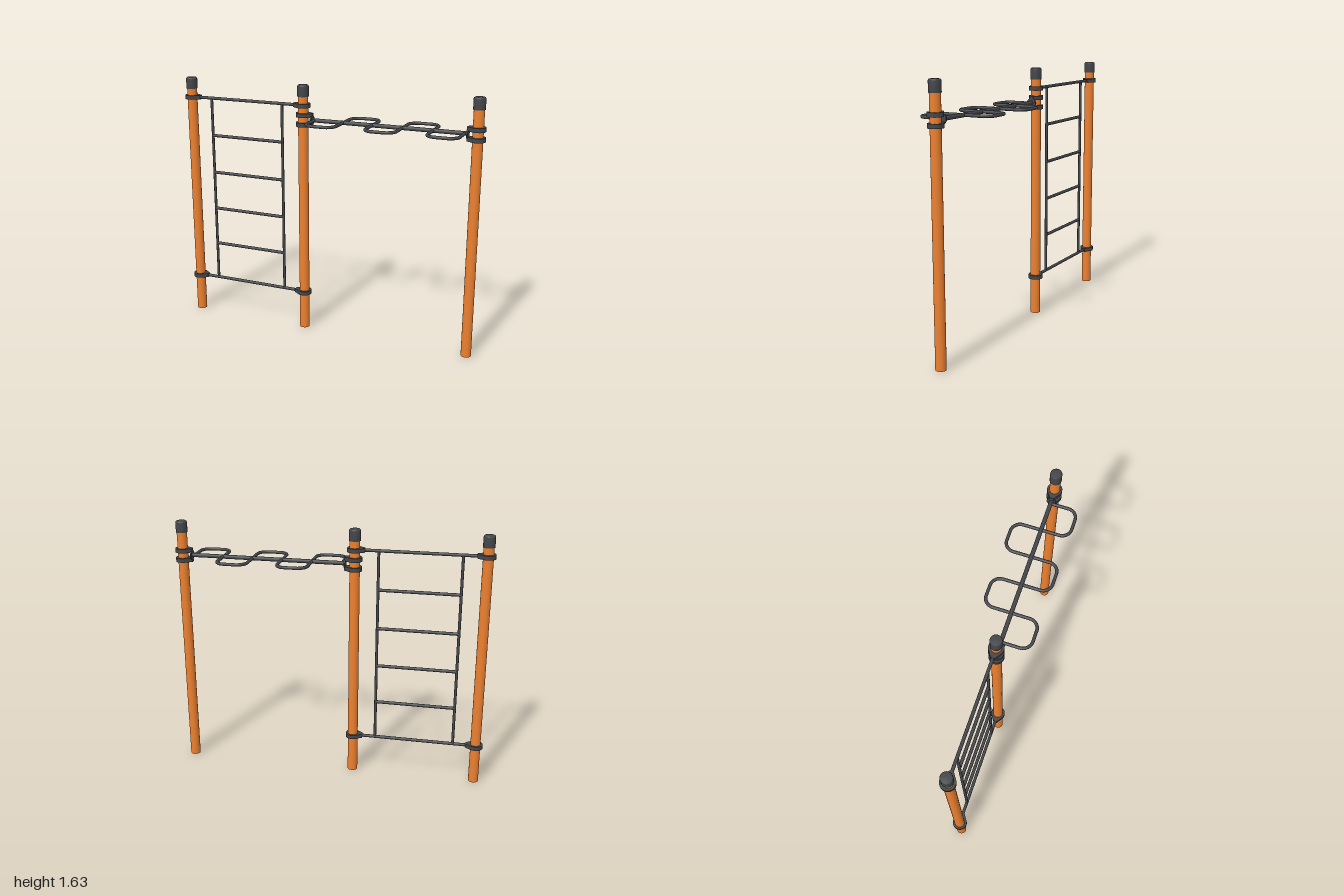
import * as THREE from 'three';

const orange = new THREE.MeshStandardMaterial({ color: 0xec8030 });
const dark = new THREE.MeshStandardMaterial({ color: 0x44464a });

export function createModel() {
  const model = new THREE.Group();
  const add = (name, geometry, material, x = 0, y = 0, z = 0) => {
    const mesh = new THREE.Mesh(geometry, material);
    mesh.name = name;
    mesh.position.set(x, y, z);
    model.add(mesh);
    return mesh;
  };
  // Round bar along x or y, given its start, end and the fixed coordinate
  const bar = (name, axis, from, to, fixed, r) => {
    const g = new THREE.CylinderGeometry(r, r, to - from, 16);
    const mid = (from + to) / 2;
    if (axis === 'x') add(name, g.rotateZ(Math.PI / 2), dark, mid, fixed);
    else add(name, g, dark, fixed, mid);
  };

  const leftX = 0.95, middleX = -0.155, rightX = -0.953;

  // Posts with bevelled caps
  const capProfile = [[0.032, 0], [0.036, 0], [0.036, 0.062], [0.034, 0.068], [0.029, 0.072], [0, 0.073]]
    .map(([r, y]) => new THREE.Vector2(r, y));
  for (const x of [rightX, middleX, leftX]) {
    add('post', new THREE.CylinderGeometry(0.032, 0.032, 1.56, 32), orange, x, 0.78);
    const cap = new THREE.LatheGeometry(capProfile, 32);
    add('postCap', cap, dark, x, 1.553);
  }

  // Teardrop clamp around a post, its nose pointing along dir
  const clampShape = new THREE.Shape();
  const a = 0.9;
  clampShape.moveTo(0.064, -0.012);
  clampShape.lineTo(0.064, 0.012);
  clampShape.lineTo(0.046 * Math.cos(a), 0.046 * Math.sin(a));
  clampShape.absarc(0, 0, 0.046, a, 2 * Math.PI - a, false);
  clampShape.closePath();
  clampShape.holes.push(new THREE.Path().absarc(0, 0, 0.0315, 0, Math.PI * 2, true));
  const clampGeometry = new THREE.ExtrudeGeometry(clampShape, { depth: 0.026, bevelEnabled: false, curveSegments: 24 })
    .translate(0, 0, -0.013).rotateX(-Math.PI / 2);
  const clamp = (x, y, dir) => {
    add('clamp', clampGeometry, dark, x, y).rotation.y = dir > 0 ? 0 : Math.PI;
  };

  // Ladder frame between the right and middle posts
  for (const y of [0.25, 1.497]) {
    clamp(rightX, y, 1);
    clamp(middleX, y, -1);
    bar('ladderRail', 'x', rightX + 0.055, middleX - 0.055, y, 0.01);
  }
  for (const x of [-0.808, -0.302]) bar('ladderUpright', 'y', 0.25, 1.497, x, 0.009);
  for (const y of [0.5, 0.75, 1.0, 1.25]) bar('ladderRung', 'x', -0.808, -0.302, y, 0.01);

  // Overhead beam, held by a pair of clamps and an end plate on each post
  const beamY = 1.408;
  for (const [x, dir] of [[middleX, 1], [leftX, -1]]) {
    for (const dy of [-0.03, 0.03]) clamp(x, beamY + dy, dir);
    const plate = new THREE.CylinderGeometry(0.03, 0.03, 0.008, 24).rotateZ(Math.PI / 2);
    add('beamEndPlate', plate, dark, x + dir * 0.06, beamY);
  }
  bar('overheadBeam', 'x', middleX + 0.06, leftX - 0.06, beamY, 0.013);

  // Snaking hand bar: square waves with rounded corners
  const points = [new THREE.Vector3(-0.077, 0, 0)];
  for (let i = 0; i < 5; i++) {
    const z = i % 2 ? -0.173 : 0.173;
    for (const k of [i, i + 1]) points.push(new THREE.Vector3(-0.077 + 0.19 * k, 0, z));
  }
  points.push(new THREE.Vector3(0.873, 0, 0));
  const path = new THREE.CurvePath();
  let last = points[0];
  for (let i = 1; i < points.length - 1; i++) {
    const p = points[i];
    const toward = (q) => p.clone().add(q.clone().sub(p).setLength(0.06));
    const start = toward(points[i - 1]), end = toward(points[i + 1]);
    path.add(new THREE.LineCurve3(last, start));
    // Handles at 0.55 of the radius give a circular corner
    path.add(new THREE.CubicBezierCurve3(start, start.clone().lerp(p, 0.55), end.clone().lerp(p, 0.55), end));
    last = end;
  }
  path.add(new THREE.LineCurve3(last, points[points.length - 1]));
  add('snakingHandBar', new THREE.TubeGeometry(path, 260, 0.01, 12, false), dark, 0, beamY);

  return model;
}
